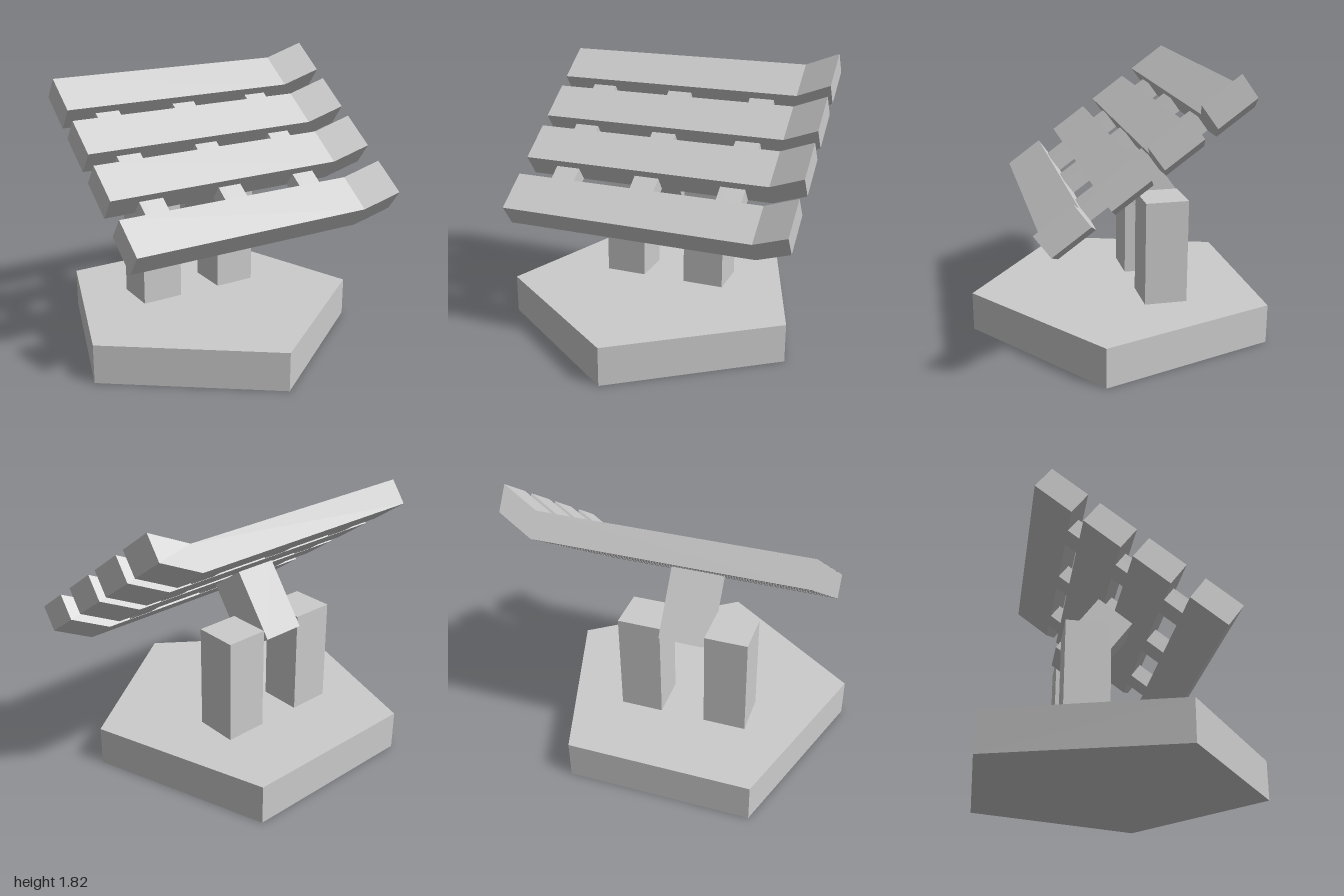
import * as THREE from 'three';

const material = new THREE.MeshStandardMaterial({ color: 0xcccccc, flatShading: true });

function addMesh(parent, name, geometry, x = 0, y = 0, z = 0) {
  const mesh = new THREE.Mesh(geometry, material);
  mesh.name = name;
  mesh.position.set(x, y, z);
  parent.add(mesh);
  return mesh;
}

// Box given by its lower and upper corners
function addBox(parent, name, [x0, y0, z0], [x1, y1, z1]) {
  const geometry = new THREE.BoxGeometry(x1 - x0, y1 - y0, z1 - z0);
  return addMesh(parent, name, geometry, (x0 + x1) / 2, (y0 + y1) / 2, (z0 + z1) / 2);
}

export function createModel() {
  const model = new THREE.Group();
  model.name = 'tiltedSlatPanel';

  // Five-sided base with one corner facing forward
  addMesh(model, 'base', new THREE.CylinderGeometry(1.007, 1.007, 0.255, 5), -0.042, 0.1275, -0.1);

  // Pair of upright posts, mirrored about the arm
  for (const [name, x] of [['rightPost', -0.465], ['leftPost', 0.1]]) {
    addBox(model, name, [x, 0.25, -0.43], [x + 0.275, 0.93, -0.155]);
  }

  // Tilted panel: local y is its normal, local -z runs up the slope
  const panel = new THREE.Group();
  panel.name = 'panel';
  panel.position.set(0, 0.77, 0.46);
  panel.rotation.x = THREE.MathUtils.degToRad(36);
  model.add(panel);

  // Slats with an upturned left end
  const width = 0.272, thick = 0.165, rise = 0.12;
  const profile = new THREE.Shape([
    [-0.855, 0], [0.775, 0], [1, rise], [1, rise + thick], [0.775, thick], [-0.855, thick],
  ].map(([x, y]) => new THREE.Vector2(x, y)));
  const slat = new THREE.ExtrudeGeometry(profile, { depth: width, bevelEnabled: false });
  [0, 0.408, 0.768, 1.128].forEach((s, i) => {
    addMesh(panel, `slat${i + 1}`, slat, 0, 0, -s - width);
  });

  // Battens joining the slats
  [-0.655, -0.105, 0.46].forEach((x, i) => {
    addBox(panel, `batten${i + 1}`, [x, 0.002, -1.25], [x + 0.16, 0.107, -0.1]);
  });

  // Arm between the posts, square to the panel
  addBox(panel, 'arm', [-0.182, -0.452, -0.809], [0.097, 0, -0.537]);

  return model;
}
